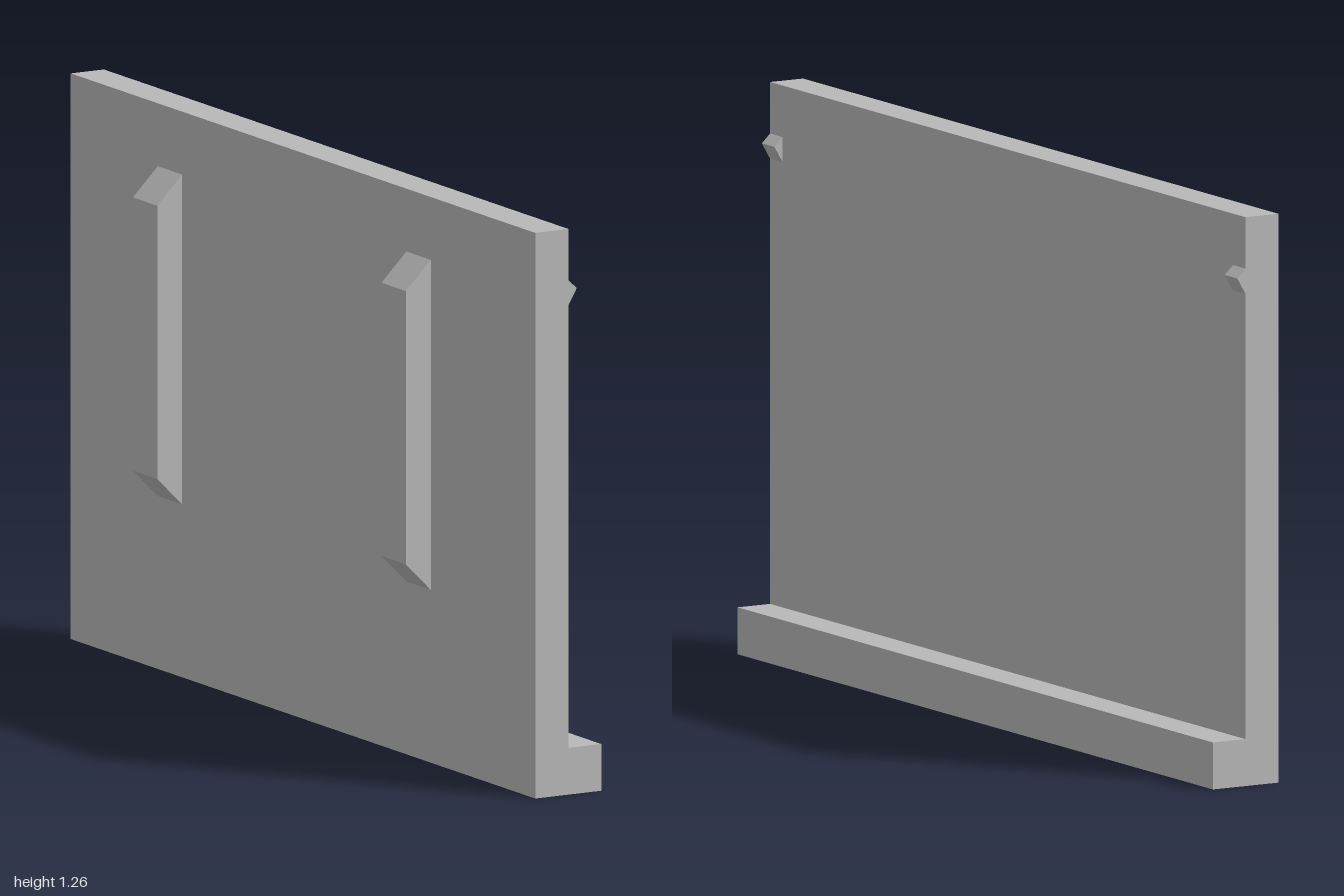
import * as THREE from 'three';

// Extrude an xy outline along z, from zMin to zMax
function profileMesh(name, points, zMin, zMax, material) {
  const shape = new THREE.Shape(points.map(([x, y]) => new THREE.Vector2(x, y)));
  const geometry = new THREE.ExtrudeGeometry(shape, { depth: zMax - zMin, bevelEnabled: false });
  geometry.translate(0, 0, zMin);
  const mesh = new THREE.Mesh(geometry, material);
  mesh.name = name;
  return mesh;
}

export function createModel() {
  const group = new THREE.Group();
  group.name = 'ledgePanel';
  const grey = new THREE.MeshStandardMaterial({ color: 0xb8b8b8 });
  grey.name = 'lightGrey';

  const back = -0.053, face = 0.031;

  // Upright panel with a ledge along its foot
  group.add(profileMesh('panelWithLedge', [
    [back, 0], [0.114, 0], [0.114, 0.104], [face, 0.104], [face, 1.26], [back, 1.26],
  ], -1, 1, grey));

  // Two chamfered ribs on the back
  const rib = [[back, 0.385], [back, 1.12], [-0.116, 1.057], [-0.116, 0.448]];
  [-0.625, 0.445].forEach((z, i) =>
    group.add(profileMesh(`backRib${i + 1}`, rib, z, z + 0.105, grey)));

  // Small wedge-shaped catches at both ends of the face
  const catchOutline = [[face, 1.09], [0.052, 1.126], [face, 1.146]];
  [-1, 0.947].forEach((z, i) =>
    group.add(profileMesh(`catch${i + 1}`, catchOutline, z, z + 0.053, grey)));

  return group;
}
